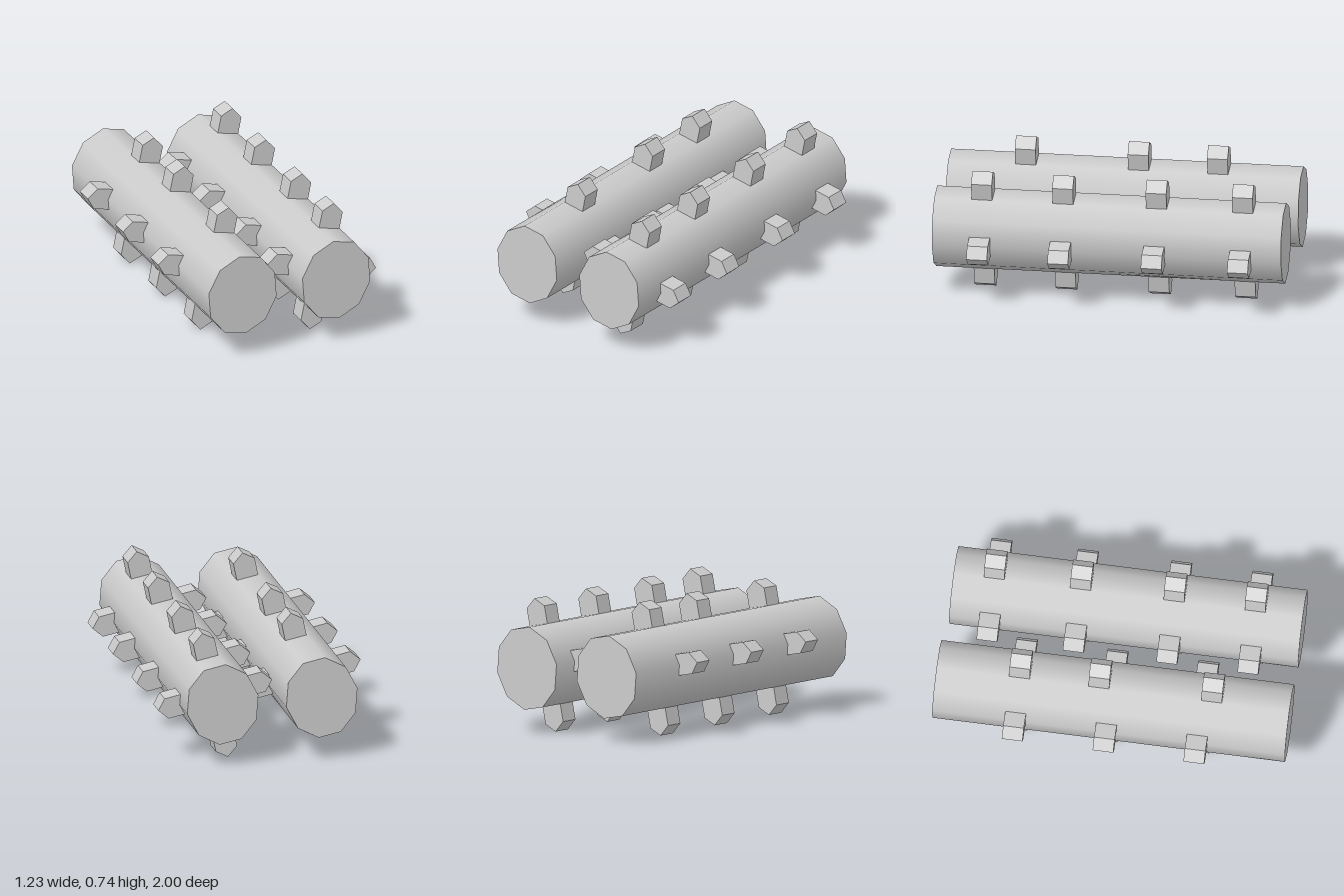
import * as THREE from 'three';

const material = new THREE.MeshStandardMaterial({ color: 0xcccccc });
const TOOTH = 0.117;

// Tooth outlines around the roller axis; each is repeated on the opposite side by a half turn
const upright = [[0, 0.15], [0.085, 0.13], [0.107, 0.213], [0.127, 0.311], [0.074, 0.372], [0.004, 0.336], [-0.017, 0.235]];
const sideways = [[0.13, 0.035], [0.11, -0.085], [0.179, -0.098], [0.27, -0.116], [0.33, -0.064], [0.293, 0.003], [0.201, 0.021]];

function toothGeometry(points) {
  const shape = new THREE.Shape(points.map(([x, y]) => new THREE.Vector2(x, y)));
  return new THREE.ExtrudeGeometry(shape, { depth: TOOTH, bevelEnabled: false }).translate(0, 0, -TOOTH / 2);
}

// Ten-sided, slightly skewed oval drum with smooth sides, lying along z
function drumGeometry(back, front) {
  const skew = new THREE.Matrix4().makeBasis(
    new THREE.Vector3(0.211, 0.035, 0),
    new THREE.Vector3(0, 0, back - front),
    new THREE.Vector3(-0.018, 0.236, 0));
  skew.setPosition(0, 0, (front + back) / 2);
  return new THREE.CylinderGeometry(1, 1, 1, 10).applyMatrix4(skew);
}

function addMesh(parent, name, geometry) {
  const mesh = new THREE.Mesh(geometry, material);
  mesh.name = name;
  parent.add(mesh);
  return mesh;
}

function createRoller(name, x, back, topRow, otherRows) {
  const roller = new THREE.Group();
  roller.name = name;
  roller.position.set(x, 0.376, 0);
  addMesh(roller, 'drum', drumGeometry(back, 1));

  // Four rows of teeth
  const uprightGeometry = toothGeometry(upright);
  const sidewaysGeometry = toothGeometry(sideways);
  const rows = [
    ['topTooth', uprightGeometry, 0, topRow],
    ['bottomTooth', uprightGeometry, Math.PI, otherRows],
    ['leftTooth', sidewaysGeometry, 0, otherRows],
    ['rightTooth', sidewaysGeometry, Math.PI, otherRows],
  ];
  for (const [toothName, geometry, turn, positions] of rows) {
    for (const z of positions) {
      const tooth = addMesh(roller, toothName, geometry);
      tooth.rotation.z = turn;
      tooth.position.z = z;
    }
  }
  return roller;
}

export function createModel() {
  const model = new THREE.Group();
  model.name = 'toothedRollers';
  const even = [-0.75, -0.26, 0.27, 0.73];
  model.add(createRoller('rightRoller', -0.287, -1, [-0.53, -0.08, 0.56], [-0.53, -0.015, 0.5]));
  model.add(createRoller('leftRoller', 0.283, -0.98, even, even));
  return model;
}
